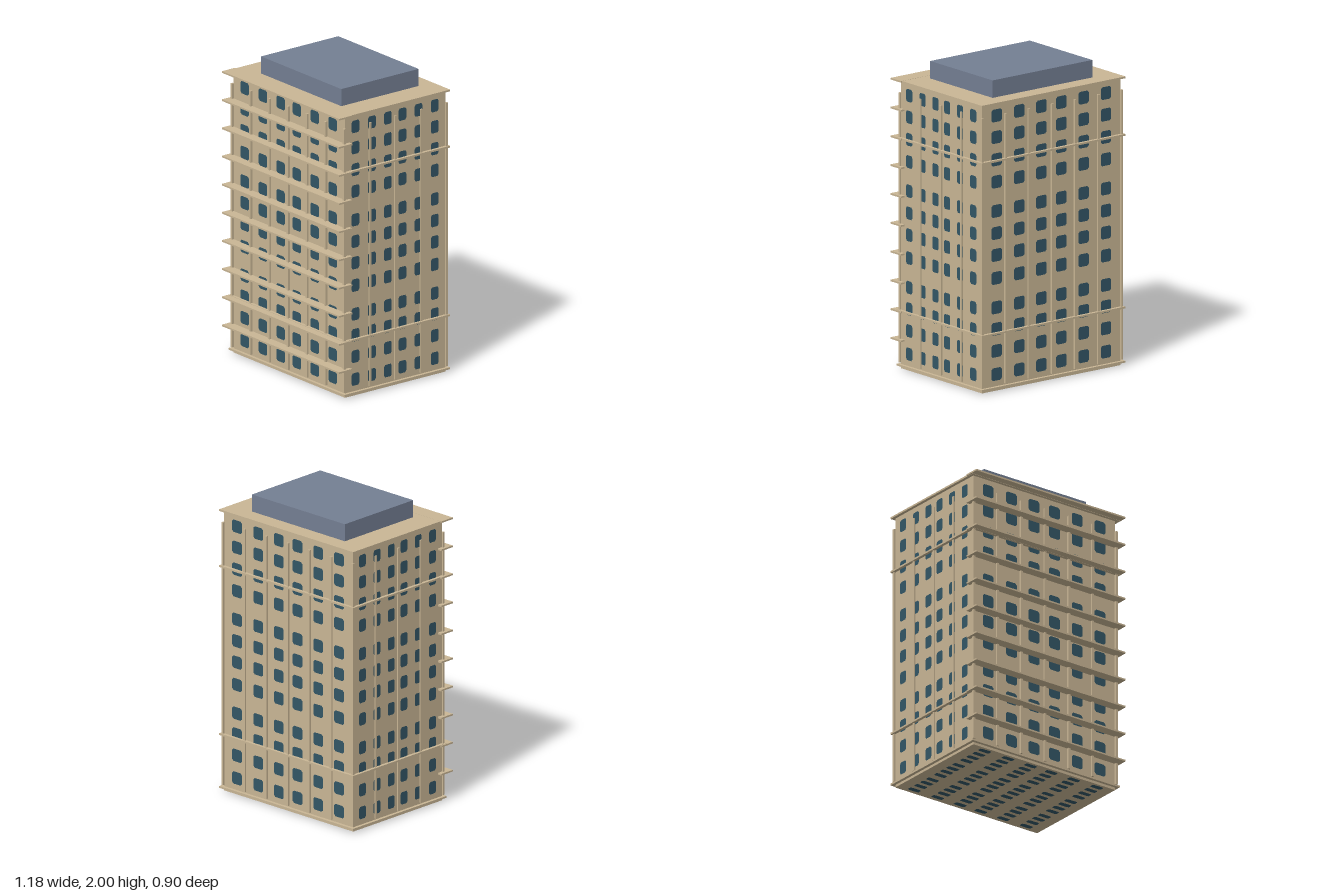
import * as THREE from 'three';
import { mergeGeometries } from 'three/addons/utils/BufferGeometryUtils.js';

// Main extents of the tower block
const HALF_X = 0.563, BACK = -0.43, FRONT = 0.382, TOP = 1.875;
const MID_Z = (FRONT + BACK) / 2, DEPTH = FRONT - BACK;

// Window centres, measured on the long wall
const COLS = [-0.447, -0.262, -0.083, 0.08, 0.26, 0.442];
const ROWS = [0.11, 0.262, 0.405, 0.545, 0.737, 0.887, 1.03, 1.174, 1.365, 1.51, 1.656, 1.797];
const WIN_W = 0.085, WIN_H = 0.083;

const wall = new THREE.MeshStandardMaterial({ name: 'sandstone', color: 0xc9b695 });
const glass = new THREE.MeshStandardMaterial({ name: 'windowGlass', color: 0x335666 });
const plant = new THREE.MeshStandardMaterial({ name: 'slateGrey', color: 0x747f93 });

export function createModel() {
  const model = new THREE.Group();
  model.name = 'apartmentTower';

  // Box given by its limits on each axis
  function box(name, x0, x1, y0, y1, z0, z1, material = wall, parent = model) {
    const mesh = new THREE.Mesh(new THREE.BoxGeometry(x1 - x0, y1 - y0, z1 - z0), material);
    mesh.position.set((x0 + x1) / 2, (y0 + y1) / 2, (z0 + z1) / 2);
    mesh.name = name;
    parent.add(mesh);
  }

  // Window pane with clipped corners
  function pane(w, h) {
    const a = w / 2, b = h / 2, cx = w * 0.14, cy = h * 0.14;
    const s = new THREE.Shape();
    s.moveTo(-a + cx, -b);
    s.lineTo(a - cx, -b);
    s.lineTo(a, -b + cy);
    s.lineTo(a, b - cy);
    s.lineTo(a - cx, b);
    s.lineTo(-a + cx, b);
    s.lineTo(-a, b - cy);
    s.lineTo(-a, -b + cy);
    s.closePath();
    return new THREE.ShapeGeometry(s);
  }

  // The whole window grid, squeezed to fit each face
  function windows(name, su, sv, place) {
    const panes = [];
    for (const u of COLS) {
      for (const v of ROWS) {
        panes.push(pane(WIN_W * su, WIN_H * sv).translate(u * su, (v - TOP / 2) * sv, 0));
      }
    }
    const mesh = new THREE.Mesh(mergeGeometries(panes), glass);
    mesh.name = name;
    place(mesh);
    model.add(mesh);
  }

  // Body
  box('towerBody', -HALF_X, HALF_X, 0.002, TOP, BACK, FRONT);

  // Windows on the four walls and the underside
  const gap = 0.002, sideScale = DEPTH / (2 * HALF_X);
  windows('frontWindows', 1, 1, m => m.position.set(0, TOP / 2, FRONT + gap));
  windows('backWindows', 1, 1, m => {
    m.position.set(0, TOP / 2, BACK - gap);
    m.rotation.y = Math.PI;
  });
  for (const s of [-1, 1]) {
    windows(s > 0 ? 'leftWindows' : 'rightWindows', sideScale, 1, m => {
      m.position.set(s * (HALF_X + gap), TOP / 2, MID_Z);
      m.rotation.y = s * Math.PI / 2;
    });
  }
  windows('undersidePanels', 1, DEPTH / TOP, m => {
    m.position.set(0, 0, MID_Z);
    m.rotation.x = Math.PI / 2;
  });

  // Vertical ribs on all walls, shared at the corners
  const ribs = new THREE.Group();
  ribs.name = 'verticalRibs';
  model.add(ribs);
  const r = 0.0075, ribX = 0.566, ribFront = 0.389, ribBack = -0.435;
  const rib = (x, z) => box('rib', x - r, x + r, 0.04, 1.8, z - r, z + r, wall, ribs);
  for (let i = 0; i <= 6; i++) {
    const x = ribX * (i / 3 - 1);
    rib(x, ribFront);
    rib(x, ribBack);
  }
  for (let i = 1; i <= 3; i++) {
    const z = ribBack + (ribFront - ribBack) * i / 4;
    rib(-ribX, z);
    rib(ribX, z);
  }

  // Belt courses and the roof slab
  for (const [name, y] of [['baseBelt', 0.025], ['lowerBelt', 0.379], ['upperBelt', 1.505], ['roofSlab', 1.88]]) {
    box(name, -0.584, 0.584, y - 0.006, y + 0.006, -0.452, 0.403);
  }

  // Balcony slabs along the front
  const balconies = new THREE.Group();
  balconies.name = 'balconies';
  model.add(balconies);
  for (let i = 1; i <= 10; i++) {
    const y = 0.188 * i + 0.002;
    box('balconySlab', -0.592, 0.592, y - 0.006, y + 0.005, 0.346, 0.452, wall, balconies);
  }

  // Rooftop plant room
  box('rooftopPlantRoom', -0.405, 0.405, 1.88, 2, -0.34, 0.285, plant);

  return model;
}
